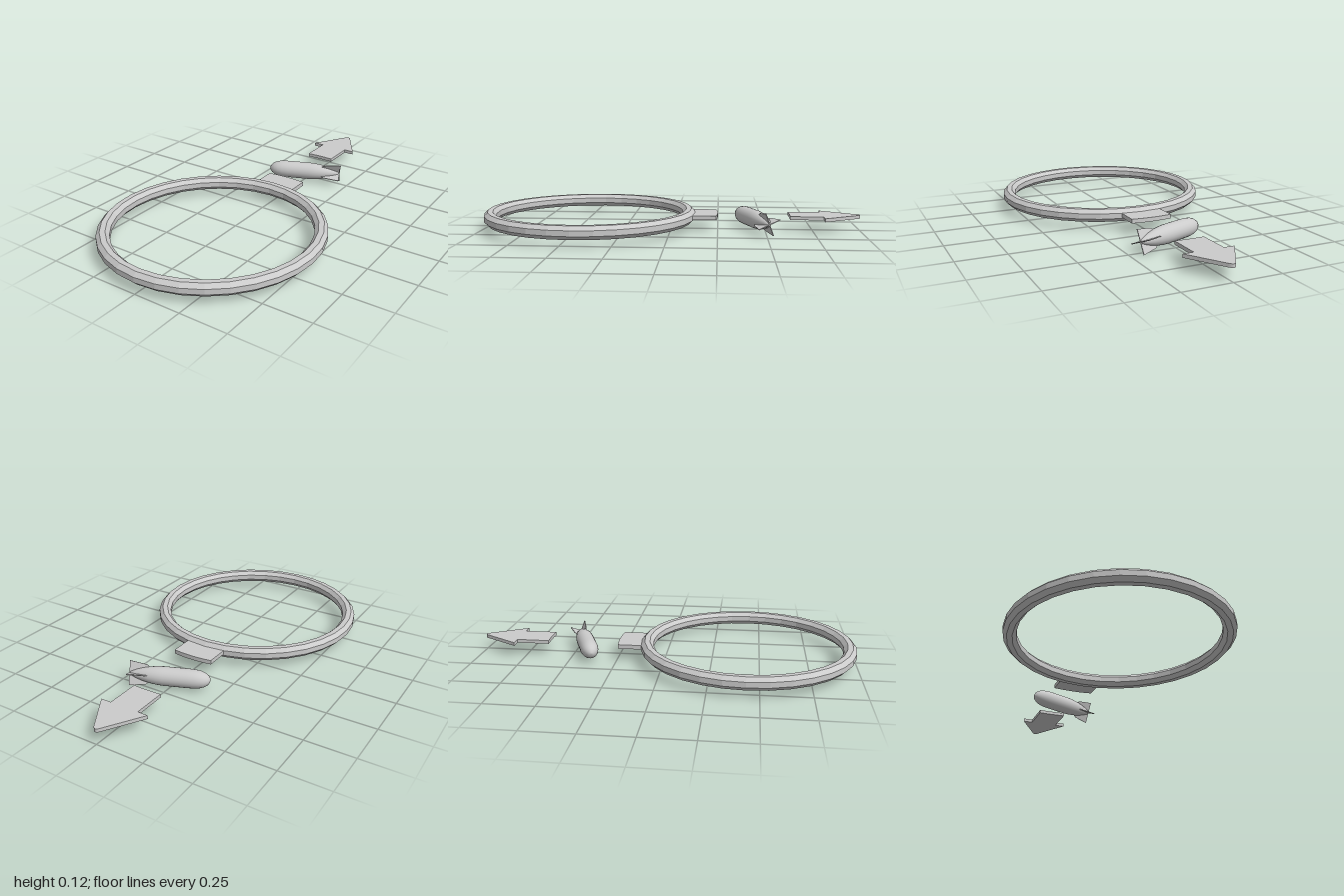
import * as THREE from 'three';

const RING_Z = 0.435; // centre of the ring, also the centre of the curved edges

const smooth = new THREE.MeshStandardMaterial({ color: 0xcccccc });
const flat = new THREE.MeshStandardMaterial({ color: 0xcccccc, flatShading: true });

function addMesh(parent, name, geometry, material = flat) {
  const mesh = new THREE.Mesh(geometry, material);
  mesh.name = name;
  parent.add(mesh);
  return mesh;
}

// Horizontal plate from a plan outline (x, -z), between two heights
function plate(shape, bottom, top) {
  const g = new THREE.ExtrudeGeometry(shape, { depth: top - bottom, bevelEnabled: false, curveSegments: 8 });
  return g.rotateX(-Math.PI / 2).translate(0, bottom, 0);
}

// Octagonal tube swept round in 32 straight segments
function ringGeometry() {
  const profile = [];
  for (let i = 0; i <= 8; i++) {
    const a = (i + 0.5) * Math.PI / 4;
    profile.push(new THREE.Vector2(0.531 + 0.0355 * Math.cos(a), 0.074 + 0.0365 * Math.sin(a)));
  }
  return new THREE.LatheGeometry(profile, 32).translate(0, 0, RING_Z);
}

// Short tab on the ring, its outer edge concentric with the ring
function tabShape() {
  const r = 0.685, half = 0.11, a = Math.asin(half / r);
  const s = new THREE.Shape();
  s.moveTo(-half, 0.115);
  s.lineTo(half, 0.115);
  s.absarc(0, -RING_Z, r, Math.PI / 2 - a, Math.PI / 2 + a, false);
  s.closePath();
  return s;
}

// Arrow with a concentric base edge and a rounded tip
function arrowShape() {
  const r = 1.064, half = 0.077, a = Math.asin(half / r);
  const s = new THREE.Shape();
  s.absarc(0, -RING_Z, r, Math.PI / 2 + a, Math.PI / 2 - a, true);
  s.lineTo(half, 0.8);
  s.lineTo(0.132, 0.8);
  s.lineTo(0.016, 0.989);
  s.quadraticCurveTo(0, 1.011, -0.016, 0.989);
  s.lineTo(-0.132, 0.8);
  s.lineTo(-half, 0.8);
  s.closePath();
  return s;
}

// Finned torpedo-like body lying along its local x axis, nose at -x
function createBomb() {
  const bomb = new THREE.Group();
  bomb.name = 'bomb';

  const profile = [
    [0, -0.042], [0.013, -0.039], [0.025, -0.03], [0.036, -0.013], [0.043, 0.008], [0.047, 0.035],
    [0.048, 0.07], [0.048, 0.19], [0.046, 0.225], [0.041, 0.262], [0.033, 0.298], [0.022, 0.332],
    [0.01, 0.36], [0, 0.363],
  ].map(([r, t]) => new THREE.Vector2(r, t));
  addMesh(bomb, 'bombBody', new THREE.LatheGeometry(profile, 24).rotateZ(-Math.PI / 2), smooth);

  // Four tail fins, the cross slightly rolled
  const outline = [[0.25, 0], [0.26, 0.036], [0.28, 0.05], [0.367, 0.0625], [0.367, 0]];
  const fin = new THREE.Shape(outline.map(([x, y]) => new THREE.Vector2(x, y)));
  const finGeometry = new THREE.ExtrudeGeometry(fin, { depth: 0.004, bevelEnabled: false });
  finGeometry.translate(0, 0, -0.002);
  for (let i = 0; i < 4; i++) {
    addMesh(bomb, 'tailFin' + (i + 1), finGeometry).rotation.x = 0.37 + i * Math.PI / 2;
  }

  bomb.position.set(-0.148, 0.06, -0.382);
  bomb.rotation.y = 0.367;
  return bomb;
}

export function createModel() {
  const model = new THREE.Group();
  model.name = 'ringMarker';
  addMesh(model, 'ring', ringGeometry());
  addMesh(model, 'ringTab', plate(tabShape(), 0.066, 0.088));
  addMesh(model, 'arrow', plate(arrowShape(), 0.066, 0.084));
  model.add(createBomb());
  return model;
}
